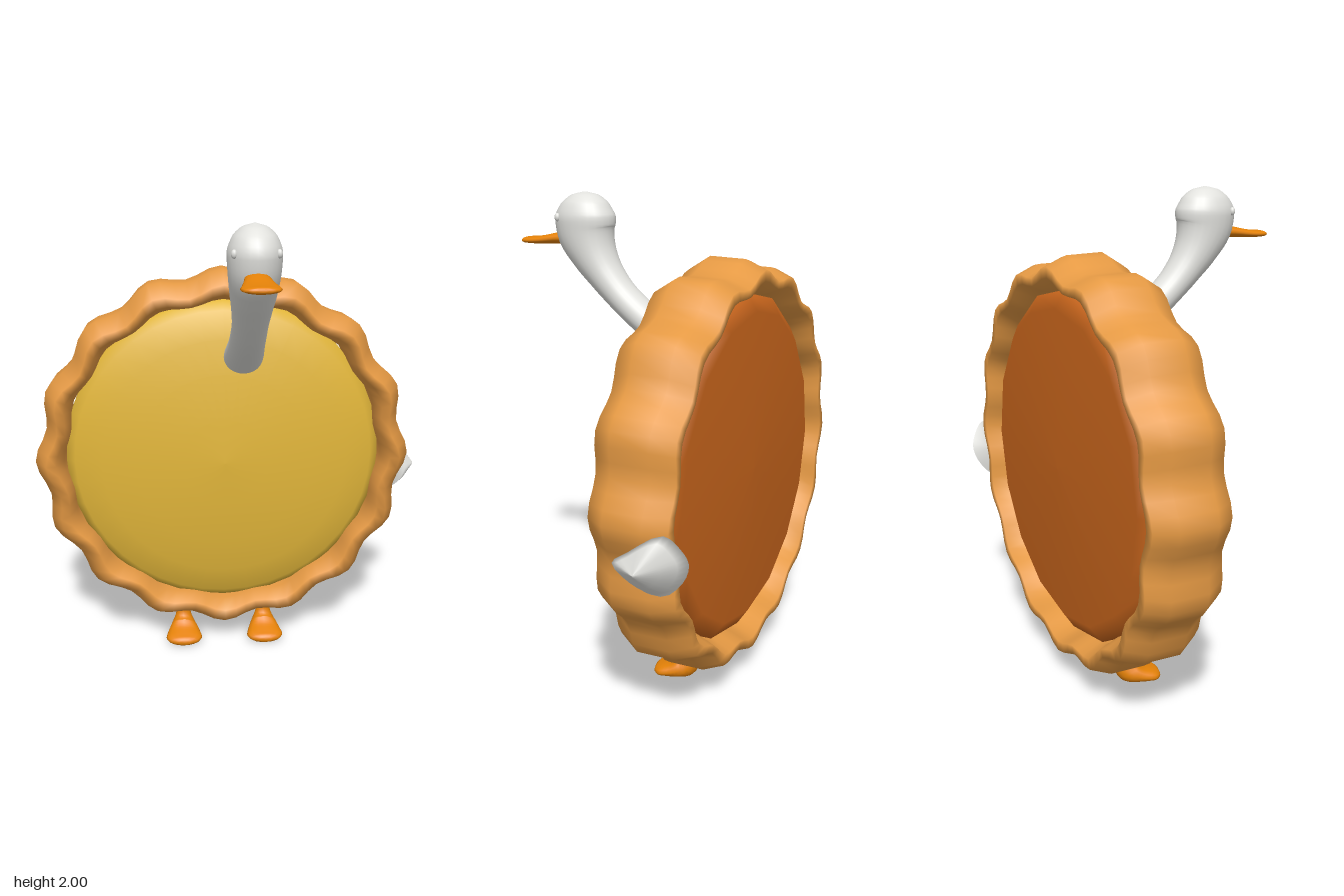
import * as THREE from 'three';

const mat = (name, color) => {
  const m = new THREE.MeshStandardMaterial({ color });
  m.name = name;
  return m;
};

// Skin a list of equal-length loops; each loop runs counter-clockwise about the travel direction.
function skin(loops, closed = false) {
  const n = loops[0].length, count = loops.length, index = [];
  const points = loops.flat();
  for (let i = 0; i < (closed ? count : count - 1); i++) {
    const next = (i + 1) % count;
    for (let j = 0; j < n; j++) {
      const k = (j + 1) % n;
      const a = i * n + j, b = i * n + k, c = next * n + j, d = next * n + k;
      index.push(a, b, c, b, d, c);
    }
  }
  if (!closed) {
    // End caps
    [0, count - 1].forEach((r, end) => {
      const centre = new THREE.Vector3();
      loops[r].forEach((p) => centre.addScaledVector(p, 1 / n));
      const c = points.push(centre) - 1;
      for (let j = 0; j < n; j++) {
        const a = r * n + j, b = r * n + (j + 1) % n;
        index.push(c, ...(end ? [a, b] : [b, a]));
      }
    });
  }
  const geo = new THREE.BufferGeometry().setFromPoints(points);
  geo.setIndex(index);
  geo.computeVertexNormals();
  return geo;
}

// Elliptical tube along a spine in the yz plane; each station is [z, y, half width, half thickness].
function limb(stations, steps, sides) {
  const spine = new THREE.CatmullRomCurve3(stations.map(([z, y]) => new THREE.Vector3(0, y, z)));
  const size = new THREE.CatmullRomCurve3(stations.map((s) => new THREE.Vector3(s[2], s[3], 0)));
  const loops = [];
  for (let i = 0; i <= steps; i++) {
    const t = i / steps, p = spine.getPoint(t), T = spine.getTangent(t), r = size.getPoint(t);
    loops.push(Array.from({ length: sides }, (_, j) => {
      const a = (j / sides) * Math.PI * 2, v = Math.sin(a) * r.y;
      return new THREE.Vector3(Math.cos(a) * r.x, p.y + T.z * v, p.z - T.y * v);
    }));
  }
  return skin(loops);
}

function disc(profile, sides) {
  return new THREE.LatheGeometry(profile.map(([r, z]) => new THREE.Vector2(r, z)), sides).rotateX(Math.PI / 2);
}

export function createModel() {
  const model = new THREE.Group();
  const white = mat('feather white', 0xe2e2de);
  const orange = mat('beak orange', 0xe58208);
  const crust = mat('crust tan', 0xe69a44);
  const yellow = mat('filling yellow', 0xe2b63a);
  const brown = mat('base brown', 0xc8651c);

  const add = (name, geo, material, x = 0, y = 0, z = 0) => {
    const mesh = new THREE.Mesh(geo, material);
    mesh.name = name;
    mesh.position.set(x, y, z);
    model.add(mesh);
    return mesh;
  };
  const CX = -0.035, CY = 0.915, HX = 0.048;

  // Scalloped crust ring with sixteen lobes, shallower on the inside: [radius, z, lobe depth]
  const section = [[0.823, -0.26, 0.022], [0.817, -0.41, 0.022], [0.779, -0.495, 0.022], [0.742, -0.495, 0.016],
    [0.709, -0.41, 0.011], [0.706, -0.26, 0.012], [0.73, -0.18, 0.017], [0.769, -0.172, 0.022]];
  const ringLoops = [];
  for (let i = 0; i < 96; i++) {
    const a = (i / 96) * Math.PI * 2;
    ringLoops.push(section.map(([radius, z, depth]) => {
      const r = radius + depth * Math.cos(16 * a);
      return new THREE.Vector3(Math.cos(a) * r, Math.sin(a) * r, z);
    }));
  }
  add('crustRing', skin(ringLoops, true), crust, CX, CY);

  // Domed filling in front, base plate behind
  add('filling', disc([[0.713, -0.34], [0.71, -0.285], [0.67, -0.248], [0.55, -0.218], [0.4, -0.193],
    [0.2, -0.172], [0, -0.165]], 40), yellow, CX, CY);
  add('basePlate', disc([[0, -0.475], [0.64, -0.465], [0.71, -0.42], [0.713, -0.34]], 16), brown, CX, CY);

  // Neck flowing into the head
  add('neckAndHead', limb([
    [-0.27, 1.355, 0.087, 0.07], [-0.17, 1.413, 0.085, 0.068], [-0.02, 1.502, 0.075, 0.063],
    [0.09, 1.588, 0.073, 0.064], [0.167, 1.67, 0.08, 0.074], [0.223, 1.75, 0.092, 0.095],
    [0.26, 1.835, 0.101, 0.124], [0.265, 1.895, 0.104, 0.131], [0.265, 1.955, 0.083, 0.102],
    [0.265, 1.988, 0.047, 0.058], [0.265, 2.0, 0.006, 0.006],
  ], 44, 24), white, HX);

  // Eyes
  for (const s of [-1, 1]) {
    const eye = add(s > 0 ? 'leftEye' : 'rightEye', new THREE.SphereGeometry(0.012, 12, 8), white,
      HX + s * 0.082, 1.9, 0.347);
    eye.scale.y = 1.4;
  }

  // Flat bill
  add('bill', limb([
    [0.32, 1.814, 0.045, 0.028], [0.39, 1.812, 0.05, 0.024], [0.46, 1.804, 0.064, 0.018],
    [0.51, 1.801, 0.074, 0.015], [0.54, 1.801, 0.066, 0.014], [0.553, 1.802, 0.045, 0.011],
    [0.559, 1.803, 0.015, 0.005],
  ], 24, 16), orange, HX);

  // Feet with legs that widen toward the ground
  const foot = limb([
    [-0.295, 0.16, 0.03, 0.027], [-0.292, 0.105, 0.035, 0.03], [-0.272, 0.062, 0.056, 0.05],
    [-0.23, 0.041, 0.074, 0.037], [-0.18, 0.031, 0.085, 0.028], [-0.15, 0.027, 0.066, 0.022],
    [-0.135, 0.026, 0.024, 0.01],
  ], 20, 16);
  add('leftFoot', foot, orange, 0.152);
  add('rightFoot', foot, orange, -0.234);

  // Pointed tail on the side of the crust, its slanted base sunk into the ring
  const outline = new THREE.CatmullRomCurve3([[-0.3, 0.79], [-0.35, 0.71], [-0.45, 0.66], [-0.53, 0.73],
    [-0.56, 0.81], [-0.54, 0.87], [-0.49, 0.92], [-0.36, 0.84]].map(([z, y]) =>
    new THREE.Vector3(0.73 + (z + 0.56) * 0.3 + (y - 0.79) * 0.3, y, z)), true).getPoints(24).slice(0, 24);
  const tip = new THREE.Vector3(0.885, 0.8, -0.425);
  const tailLoops = [[0, 1], [0.25, 0.82], [0.55, 0.51], [0.85, 0.2], [1, 0.04]].map(([t, s]) =>
    outline.map((p) => new THREE.Vector3(
      THREE.MathUtils.lerp(p.x, tip.x, t),
      THREE.MathUtils.lerp(tip.y, p.y, s),
      THREE.MathUtils.lerp(tip.z, p.z, s))));
  add('tail', skin(tailLoops), white);

  return model;
}
